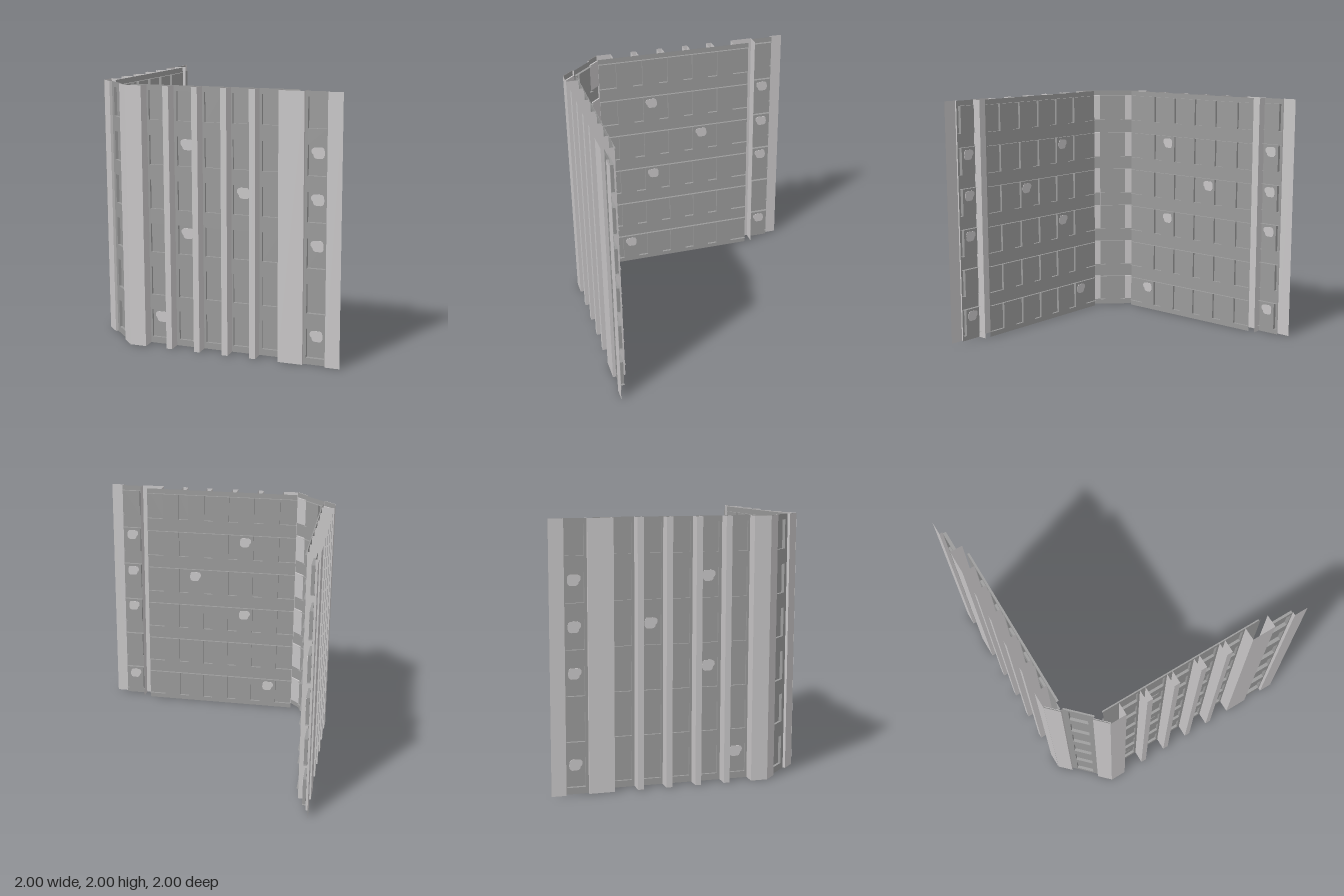
import * as THREE from 'three';
import { mergeGeometries } from 'three/addons/utils/BufferGeometryUtils.js';

const concrete = new THREE.MeshStandardMaterial({ color: 0x9a9a9a, side: THREE.DoubleSide });
concrete.name = 'grey wall';
const pale = new THREE.MeshStandardMaterial({ color: 0xc8c6c7, side: THREE.DoubleSide });
pale.name = 'pale pier';

const H = 2, PANE_W = 0.14, PANE_H = 0.222;
const rows = [0, 1, 2, 3, 4, 5].map(i => 0.16 + i * 0.3375);

function add(parent, name, geometry, material) {
  const mesh = new THREE.Mesh(geometry, material);
  mesh.name = name;
  parent.add(mesh);
  return mesh;
}

// Upright rectangle facing z
const pane = (x, y, z, w, h) => new THREE.PlaneGeometry(w, h).translate(x, y, z);
// Horizontal sheet reaching back from z to z - d
const ledge = (x, y, z, w, d) => new THREE.PlaneGeometry(w, d).rotateX(-Math.PI / 2).translate(x, y, z - d / 2);
// Upright rectangle facing x
const jamb = (x, y, z, h, d) => new THREE.PlaneGeometry(d, h).rotateY(Math.PI / 2).translate(x, y, z - d / 2);

// Full-height sheet folded along a plan path of [x, z] points
function folded(path) {
  const parts = [];
  for (let i = 0; i + 1 < path.length; i++) {
    const [x0, z0] = path[i], [x1, z1] = path[i + 1];
    const len = Math.hypot(x1 - x0, z1 - z0);
    parts.push(new THREE.PlaneGeometry(len, H)
      .rotateY(-Math.atan2(z1 - z0, x1 - x0))
      .translate((x0 + x1) / 2, H / 2, (z0 + z1) / 2));
  }
  return mergeGeometries(parts);
}

// Wall sheet with window openings, reveals and recessed panes
function bay(name, width, columns, depth) {
  const group = new THREE.Group();
  group.name = name;
  const wall = new THREE.Shape([
    new THREE.Vector2(-width / 2, 0), new THREE.Vector2(width / 2, 0),
    new THREE.Vector2(width / 2, H), new THREE.Vector2(-width / 2, H)]);
  const panes = [], reveals = [];
  for (const y of rows) {
    for (const x of columns) {
      const a = x - PANE_W / 2, b = x + PANE_W / 2, c = y - PANE_H / 2, d = y + PANE_H / 2;
      wall.holes.push(new THREE.Path([
        new THREE.Vector2(a, c), new THREE.Vector2(a, d),
        new THREE.Vector2(b, d), new THREE.Vector2(b, c)]));
      panes.push(pane(x, y, -depth, PANE_W, PANE_H));
      reveals.push(jamb(a, y, 0, PANE_H, depth), jamb(b, y, 0, PANE_H, depth));
    }
    for (const s of [-1, 1]) reveals.push(ledge(0, y + s * PANE_H / 2, 0, width, depth));
  }
  add(group, 'wall', new THREE.ShapeGeometry(wall), concrete);
  add(group, 'windowPanes', mergeGeometries(panes), concrete);
  add(group, 'windowReveals', mergeGeometries(reveals), concrete);
  return group;
}

// Rounded pale patch, slightly narrower at its foot
const patchShape = new THREE.Shape();
patchShape.moveTo(-0.05, 0.02);
patchShape.quadraticCurveTo(-0.045, 0.04, -0.015, 0.041);
patchShape.lineTo(0.025, 0.041);
patchShape.quadraticCurveTo(0.046, 0.04, 0.048, 0.005);
patchShape.quadraticCurveTo(0.052, -0.036, 0.025, -0.041);
patchShape.lineTo(-0.012, -0.04);
patchShape.quadraticCurveTo(-0.034, -0.038, -0.036, -0.012);
patchShape.quadraticCurveTo(-0.053, 0, -0.05, 0.02);

function patch(parent, x, row, depth) {
  const g = new THREE.ExtrudeGeometry(patchShape, { depth: 0.008, bevelEnabled: false, curveSegments: 5 });
  add(parent, 'windowPatch', g.translate(x, rows[row] + 0.05, -depth - 0.004), pale);
}

// One facade: main wall, end bay, piers and ribs
function facade(name) {
  const group = new THREE.Group();
  group.name = name;

  const main = bay('mainWall', 1.32, [-0.445, -0.22, 0, 0.22, 0.445], 0.02);
  main.position.z = 0.9;
  [[-0.22, 4], [0.225, 3], [-0.22, 2], [-0.445, 0]].forEach(([x, r]) => patch(main, x, r, 0.02));

  const end = bay('endBay', 0.18, [0], 0.028);
  end.position.set(0.81, 0, 0.975);
  [4, 3, 2, 0].forEach(r => patch(end, 0, r, 0.028));
  group.add(main, end);

  for (const x of [-0.335, -0.11, 0.115, 0.332]) {
    const w = 0.023;
    add(group, 'rib', folded([[x - w, 0.9], [x - w, 1], [x + w, 1], [x + w, 0.9]]), pale);
  }
  add(group, 'widePier', folded([[0.53, 0.9], [0.53, 1], [0.72, 1], [0.72, 0.9]]), pale);
  add(group, 'endPier', folded([[0.89, 0.975], [0.89, 1], [1, 1]]), pale);
  add(group, 'cornerPier', folded([[-0.66, 1], [-0.53, 1], [-0.53, 0.9]]), pale);
  return group;
}

// Diagonal corner: window bay between two shallow pale strips
function corner() {
  const group = bay('cornerBay', 0.23, [0], 0.022);
  for (const s of [-1, 1]) {
    add(group, 'cornerStrip', folded([[s * 0.115, 0], [s * 0.115, 0.02], [s * 0.24, 0.02]]), pale);
    add(group, 'stripBacking', pane(s * 0.1775, H / 2, 0.013, 0.125, H), concrete);
    const boxes = [];
    for (const y of rows) {
      boxes.push(pane(s * 0.1775, y, 0, 0.125, PANE_H));
      for (const t of [-1, 1]) {
        boxes.push(ledge(s * 0.1775, y + t * PANE_H / 2, 0.02, 0.125, 0.02));
        boxes.push(jamb(s * 0.1775 + t * 0.0625, y, 0.02, PANE_H, 0.02));
      }
    }
    add(group, 'stripBlocks', mergeGeometries(boxes), pale);
  }
  group.position.set(-0.815, 0, 0.815);
  group.rotation.y = -Math.PI / 4;
  return group;
}

export function createModel() {
  const model = new THREE.Group();
  model.name = 'cornerFacade';
  const front = facade('frontFacade');
  // Side facade mirrors the front one across the diagonal corner
  const side = facade('sideFacade');
  side.scale.x = -1;
  side.rotation.y = -Math.PI / 2;
  model.add(front, side, corner());
  return model;
}
